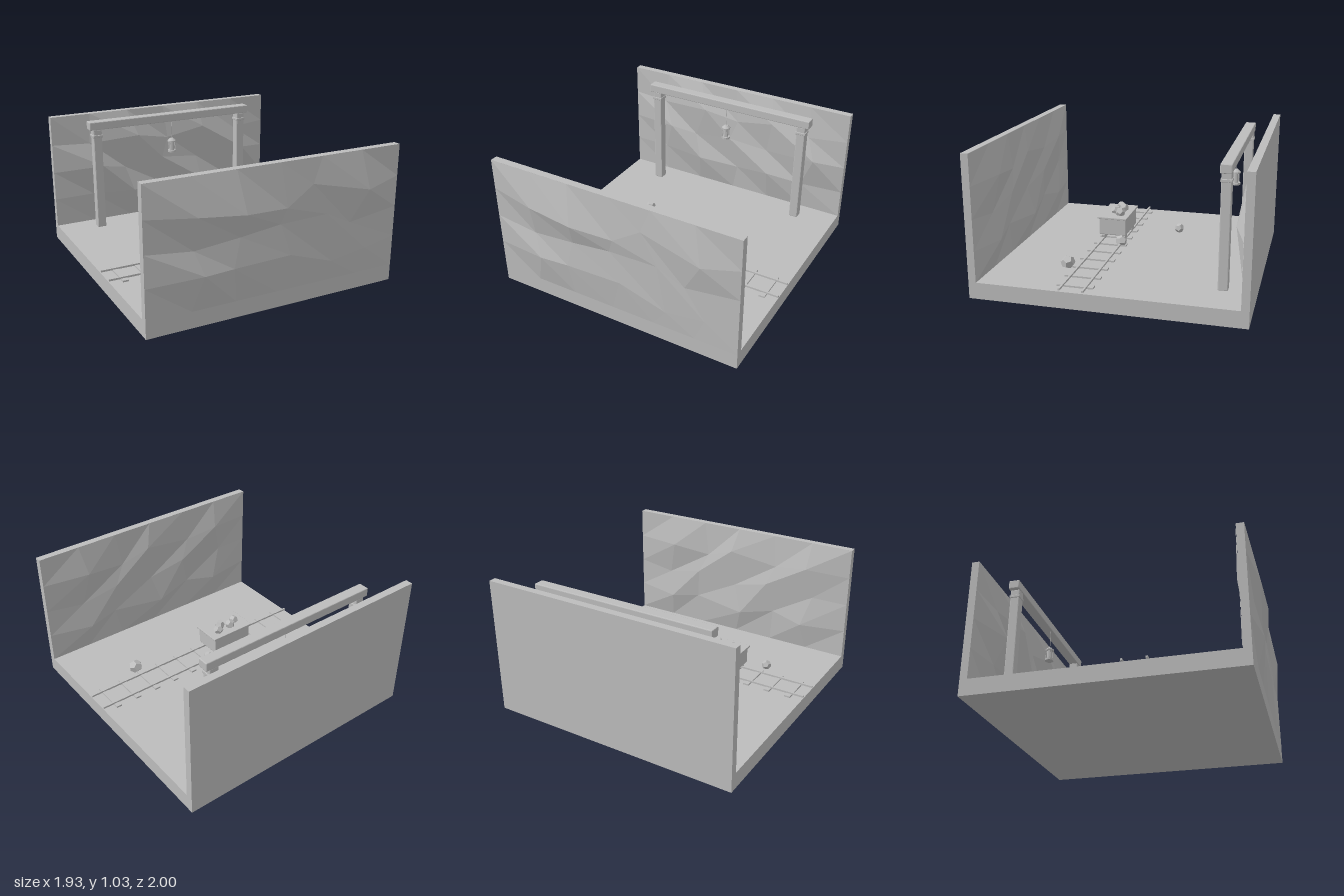
import * as THREE from 'three';
import { RoundedBoxGeometry } from 'three/addons/geometries/RoundedBoxGeometry.js';

const grey = new THREE.MeshStandardMaterial({ color: 0xbcbcbc, flatShading: true });
grey.name = 'plain grey';

const W = 1.93, FLOOR = 0.12, TOP = 1.03;

function add(parent, name, geometry, x = 0, y = 0, z = 0) {
  const mesh = new THREE.Mesh(geometry, grey);
  mesh.name = name;
  mesh.position.set(x, y, z);
  parent.add(mesh);
  return mesh;
}

const box = (parent, name, w, h, d, x, y, z) =>
  add(parent, name, new THREE.BoxGeometry(w, h, d), x, y, z);

// Box with narrow chamfered edges
const chamferBox = (parent, name, w, h, d, x, y, z, r = 0.006) =>
  add(parent, name, new RoundedBoxGeometry(w, h, d, 1, r), x, y, z);

// Rough rock sheet: a 6 x 4 grid whose fifteen inner points [x, y, depth] are moved.
// side = 1 faces +z, side = -1 faces -z
function rockFace(parent, name, inner, z, side) {
  const cols = 6, rows = 4, pos = [], index = [];
  for (let r = 0; r <= rows; r++) {
    for (let c = 0; c <= cols; c++) {
      const edge = r === 0 || r === rows || c === 0 || c === cols;
      if (edge) {
        pos.push(-W / 2 + W * c / cols, TOP - (TOP - FLOOR) * r / rows, z);
      } else {
        const [x, y, d] = inner[(r - 1) * 5 + c - 1];
        pos.push(x, y, z + side * d);
      }
    }
  }
  for (let r = 0; r < rows; r++) {
    for (let c = 0; c < cols; c++) {
      const a = r * 7 + c, b = a + 7, d = b + 1, e = a + 1;
      if (side > 0) index.push(a, b, d, a, d, e);
      else index.push(a, d, b, a, e, d);
    }
  }
  const g = new THREE.BufferGeometry();
  g.setAttribute('position', new THREE.Float32BufferAttribute(pos, 3));
  g.setIndex(index);
  g.computeVertexNormals();
  add(parent, name, g);
}

const outerFront = [
  [-0.62, 0.775, 0.055], [-0.28, 0.74, 0.068], [0.04, 0.72, 0.03], [0.25, 0.85, 0.012], [0.70, 0.75, 0.04],
  [-0.63, 0.54, 0.006], [-0.30, 0.575, 0.015], [0.0, 0.61, 0.014], [0.37, 0.62, 0.012], [0.57, 0.52, 0.002],
  [-0.57, 0.37, 0.05], [-0.35, 0.37, 0.03], [0.08, 0.38, 0.025], [0.43, 0.26, 0.01], [0.72, 0.30, 0.003],
];
const innerFront = [
  [-0.62, 0.82, 0.05], [-0.35, 0.78, 0.02], [0.05, 0.84, 0.04], [0.28, 0.76, 0.012], [0.60, 0.80, 0.05],
  [-0.68, 0.58, 0.015], [-0.28, 0.62, 0.045], [0.02, 0.54, 0.01], [0.36, 0.60, 0.034], [0.66, 0.53, 0.008],
  [-0.60, 0.33, 0.045], [-0.34, 0.38, 0.01], [-0.05, 0.31, 0.044], [0.38, 0.36, 0.012], [0.62, 0.32, 0.046],
];
const innerBack = [
  [-0.66, 0.79, 0.02], [-0.25, 0.82, 0.066], [0.03, 0.76, 0.02], [0.35, 0.83, 0.055], [0.66, 0.78, 0.03],
  [-0.57, 0.60, 0.08], [-0.36, 0.55, 0.02], [-0.03, 0.60, 0.045], [0.30, 0.56, 0.015], [0.73, 0.60, 0.075],
  [-0.65, 0.36, 0.025], [-0.30, 0.35, 0.06], [0.04, 0.33, 0.015], [0.33, 0.37, 0.06], [0.62, 0.34, 0.02],
];

// Loose faceted stone
function rock(parent, name, x, y, z, r, turn) {
  const m = add(parent, name, new THREE.DodecahedronGeometry(r, 0), x, y, z);
  m.rotation.set(turn, turn * 1.7, turn * 0.6);
  m.scale.set(1, 0.92, 0.95);
}

function cylinder(parent, name, rTop, rBottom, h, sides, x, y, z) {
  return add(parent, name, new THREE.CylinderGeometry(rTop, rBottom, h, sides), x, y, z);
}

function makeFrame() {
  const g = new THREE.Group();
  g.name = 'timberFrame';
  chamferBox(g, 'crossBeam', 1.42, 0.065, 0.08, 0, 0.97, -0.787);
  for (const s of [-1, 1]) {
    chamferBox(g, 'post', 0.07, 0.82, 0.07, s * 0.645, 0.53, -0.787);
    chamferBox(g, 'postCollar', 0.08, 0.022, 0.08, s * 0.645, 0.885, -0.787, 0.004);
  }
  return g;
}

function makeLantern() {
  const g = new THREE.Group();
  g.name = 'lantern';
  g.position.set(0, 0, -0.767);
  cylinder(g, 'cord', 0.002, 0.002, 0.16, 6, 0, 0.866, 0);
  cylinder(g, 'lanternTop', 0.015, 0.034, 0.018, 12, 0, 0.782, 0);
  cylinder(g, 'lanternRim', 0.034, 0.034, 0.01, 12, 0, 0.768, 0);
  cylinder(g, 'lanternGlass', 0.02, 0.02, 0.08, 12, 0, 0.727, 0);
  cylinder(g, 'lanternBase', 0.034, 0.034, 0.016, 12, 0, 0.684, 0);
  for (let i = 0; i < 4; i++) {
    const a = Math.PI / 4 + i * Math.PI / 2;
    cylinder(g, 'lanternBar', 0.003, 0.003, 0.08, 6, 0.029 * Math.cos(a), 0.727, 0.029 * Math.sin(a));
  }
  return g;
}

function makeTrack() {
  const g = new THREE.Group();
  g.name = 'track';
  for (let i = -5; i <= 5; i++) box(g, 'sleeper', 0.045, 0.012, 0.26, i * 0.171, FLOOR + 0.006, 0.19);
  for (const z of [0.107, 0.273]) box(g, 'rail', W, 0.014, 0.014, 0, FLOOR + 0.016, z);
  return g;
}

function makeCart() {
  const g = new THREE.Group();
  g.name = 'mineCart';
  g.position.set(-0.23, 0, 0.193);
  chamferBox(g, 'cartBody', 0.34, 0.135, 0.215, 0, 0.243, 0);
  chamferBox(g, 'cartRim', 0.372, 0.016, 0.236, 0, 0.315, 0, 0.003);
  for (const x of [-0.11, 0.11]) {
    cylinder(g, 'axle', 0.007, 0.007, 0.17, 8, x, 0.162, 0).rotation.x = Math.PI / 2;
    for (const z of [-0.083, 0.083]) {
      cylinder(g, 'wheel', 0.032, 0.032, 0.022, 12, x, 0.158, z).rotation.x = Math.PI / 2;
    }
  }
  // Ore load
  rock(g, 'ore', -0.09, 0.34, -0.003, 0.04, 0.4);
  rock(g, 'ore', -0.025, 0.347, -0.043, 0.041, 1.1);
  rock(g, 'ore', 0.04, 0.342, 0.006, 0.042, 2.0);
  rock(g, 'ore', 0.095, 0.347, -0.048, 0.042, 2.9);
  return g;
}

export function createModel() {
  const model = new THREE.Group();
  model.name = 'mineTunnel';

  // Floor slab and the two side walls
  box(model, 'floor', W, FLOOR, 1.93, 0, FLOOR / 2, -0.035);
  const h = TOP - FLOOR, mid = (TOP + FLOOR) / 2;
  box(model, 'frontWall', W, h, 0.055, 0, mid, 0.9025);
  box(model, 'backWall', W, h, 0.055, 0, mid, -0.9725);
  rockFace(model, 'frontWallOuterRock', outerFront, 0.931, 1);
  rockFace(model, 'frontWallInnerRock', innerFront, 0.874, -1);
  rockFace(model, 'backWallRock', innerBack, -0.944, 1);

  model.add(makeFrame(), makeLantern(), makeTrack(), makeCart());

  // Stones lying on the floor
  rock(model, 'looseRock', -0.43, 0.152, -0.27, 0.041, 0.7);
  rock(model, 'looseRock', -0.005, 0.155, 0.105, 0.048, 1.5);
  rock(model, 'looseRock', -0.53, 0.15, 0.38, 0.04, 2.3);
  rock(model, 'looseRock', 0.52, 0.155, 0.36, 0.056, 0.3);
  return model;
}
